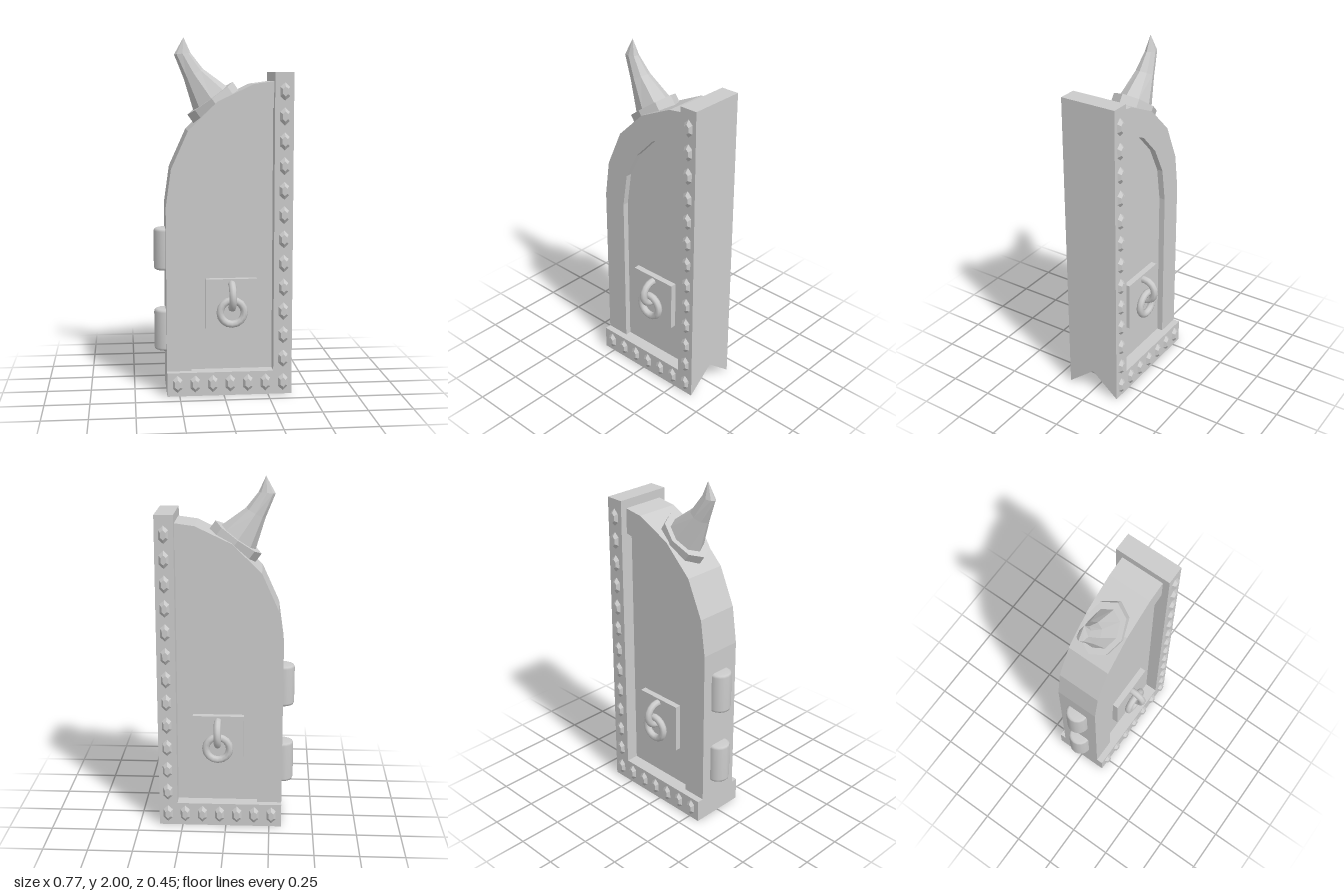
import * as THREE from 'three';

const flat = new THREE.MeshStandardMaterial({ color: 0xcccccc, flatShading: true });
const smooth = new THREE.MeshStandardMaterial({ color: 0xcccccc });
const shell = new THREE.MeshStandardMaterial({ color: 0xcccccc, flatShading: true, side: THREE.DoubleSide });

const LEFT = -0.32, RIGHT = 0.385, POST = 0.28, RAIL = 0.135, DEPTH = 0.163, FOOT = 0.08;

// Arch curves, from the lower left up to the post
const outer = [[LEFT, FOOT], [LEFT, 1.07], [-0.29, 1.28], [-0.195, 1.49], [-0.03, 1.65], [0.17, 1.745], [POST, 1.76]];
const inner = [[-0.18, FOOT], [-0.18, 1.05], [-0.15, 1.245], [-0.07, 1.4], [0.05, 1.525], [0.2, 1.6], [POST, 1.615]];

function slab(points, halfDepth) {
  const shape = new THREE.Shape(points.map(([x, y]) => new THREE.Vector2(x, y)));
  return new THREE.ExtrudeGeometry(shape, { depth: 2 * halfDepth, bevelEnabled: false }).translate(0, 0, -halfDepth);
}

// Hollow bottom rail: open below, with a pointed notch in the end under the post
function railGeometry() {
  const D = DEPTH, pos = [];
  const face = (...c) => {
    for (let i = 1; i < c.length - 1; i++) pos.push(...c[0], ...c[i], ...c[i + 1]);
  };
  face([LEFT, 0, D], [RIGHT, 0, D], [RIGHT, RAIL, D], [LEFT, RAIL, D]);
  face([RIGHT, 0, -D], [LEFT, 0, -D], [LEFT, RAIL, -D], [RIGHT, RAIL, -D]);
  face([LEFT, RAIL, D], [POST, RAIL, D], [POST, RAIL, -D], [LEFT, RAIL, -D]);
  face([LEFT, 0, -D], [LEFT, 0, D], [LEFT, RAIL, D], [LEFT, RAIL, -D]);
  face([RIGHT, 0, D], [RIGHT, RAIL, 0], [RIGHT, RAIL, D]);
  face([RIGHT, 0, -D], [RIGHT, RAIL, -D], [RIGHT, RAIL, 0]);
  const g = new THREE.BufferGeometry();
  g.setAttribute('position', new THREE.Float32BufferAttribute(pos, 3));
  g.computeVertexNormals();
  return g;
}

// Curved horn: each row of an eight-sided tube becomes a tilted oval
// row: centre x, centre y, radius across, radius in z, tilt
function hornGeometry() {
  const rows = [
    [-0.217 + 0.007, 2.0, 0, 0, 0],
    [-0.217, 1.91, 0.046, 0.027, 0.1],
    [-0.156, 1.8, 0.06, 0.05, 0.48],
    [-0.063, 1.664, 0.115, 0.085, 0.62],
  ];
  const g = new THREE.CylinderGeometry(1, 1, 1, 8, rows.length - 1, true);
  const p = g.attributes.position;
  for (let i = 0; i < p.count; i++) {
    const [cx, cy, r, rz, tilt] = rows[Math.round((0.5 - p.getY(i)) * (rows.length - 1))];
    const a = p.getX(i) * r;
    p.setXYZ(i, cx + a * Math.cos(tilt), cy + a * Math.sin(tilt), p.getZ(i) * rz);
  }
  g.computeVertexNormals();
  return g;
}

export function createModel() {
  const model = new THREE.Group();
  const add = (name, geometry, material = flat, parent = model) => {
    const mesh = new THREE.Mesh(geometry, material);
    mesh.name = name;
    parent.add(mesh);
    return mesh;
  };

  // Frame and panel
  add('bottomRail', railGeometry(), shell);
  add('post', new THREE.BoxGeometry(RIGHT - POST, 1.81 - RAIL, 2 * DEPTH)
    .translate((RIGHT + POST) / 2, (1.81 + RAIL) / 2, 0));
  add('archFrame', slab([...outer, ...[...inner].reverse()], 0.125));
  add('panel', slab([...inner, [POST, FOOT]], 0.09));

  // Horn in its collar
  add('hornCollar', new THREE.CylinderGeometry(1, 1, 0.062, 8).scale(0.156, 1, 0.113)
    .rotateZ(0.62).translate(-0.045, 1.64, 0));
  add('horn', hornGeometry());

  // Hinge knuckles with softened ends
  const knuckle = [[0, -0.12], [0.05, -0.12], [0.061, -0.115], [0.065, -0.103],
    [0.065, 0.103], [0.061, 0.115], [0.05, 0.12], [0, 0.12]].map(([x, y]) => new THREE.Vector2(x, y));
  for (const y of [0.355, 0.82]) {
    add('hinge', new THREE.LatheGeometry(knuckle, 16), smooth).position.set(LEFT, y, 0);
  }

  // Studs: six-sided gems set into both faces of the rail and the post
  const half = new THREE.CylinderGeometry(0.55, 1, 0.018, 6).rotateX(Math.PI / 2).scale(0.031, 0.05, 1);
  const studs = new THREE.Group();
  studs.name = 'studs';
  model.add(studs);
  const spots = [];
  for (let i = 0; i < 6; i++) spots.push([-0.262 + i * 0.0995, 0.07]);
  for (let i = 0; i < 13; i++) spots.push([0.335, 0.07 + i * 0.1362]);
  for (const [x, y] of spots) {
    for (const side of [1, -1]) {
      for (const way of [1, -1]) {
        const stud = add('stud', half, flat, studs);
        stud.position.set(x, y, side * (DEPTH + way * 0.009));
        stud.rotation.y = side * way > 0 ? 0 : Math.PI;
      }
    }
  }

  // Knocker on each face: backing plate, hook and hanging ring
  for (const side of [1, -1]) {
    const knocker = new THREE.Group();
    knocker.name = side > 0 ? 'frontKnocker' : 'backKnocker';
    model.add(knocker);
    add('plate', new THREE.BoxGeometry(0.29, 0.29, 0.045), flat, knocker).position.set(0.045, 0.515, side * 0.1025);
    add('hook', new THREE.TorusGeometry(0.068, 0.021, 8, 16).rotateY(Math.PI / 2), smooth, knocker)
      .position.set(0.047, 0.565, side * 0.136);
    add('ring', new THREE.TorusGeometry(0.068, 0.021, 8, 16), smooth, knocker)
      .position.set(0.047, 0.475, side * 0.15);
  }
  return model;
}
